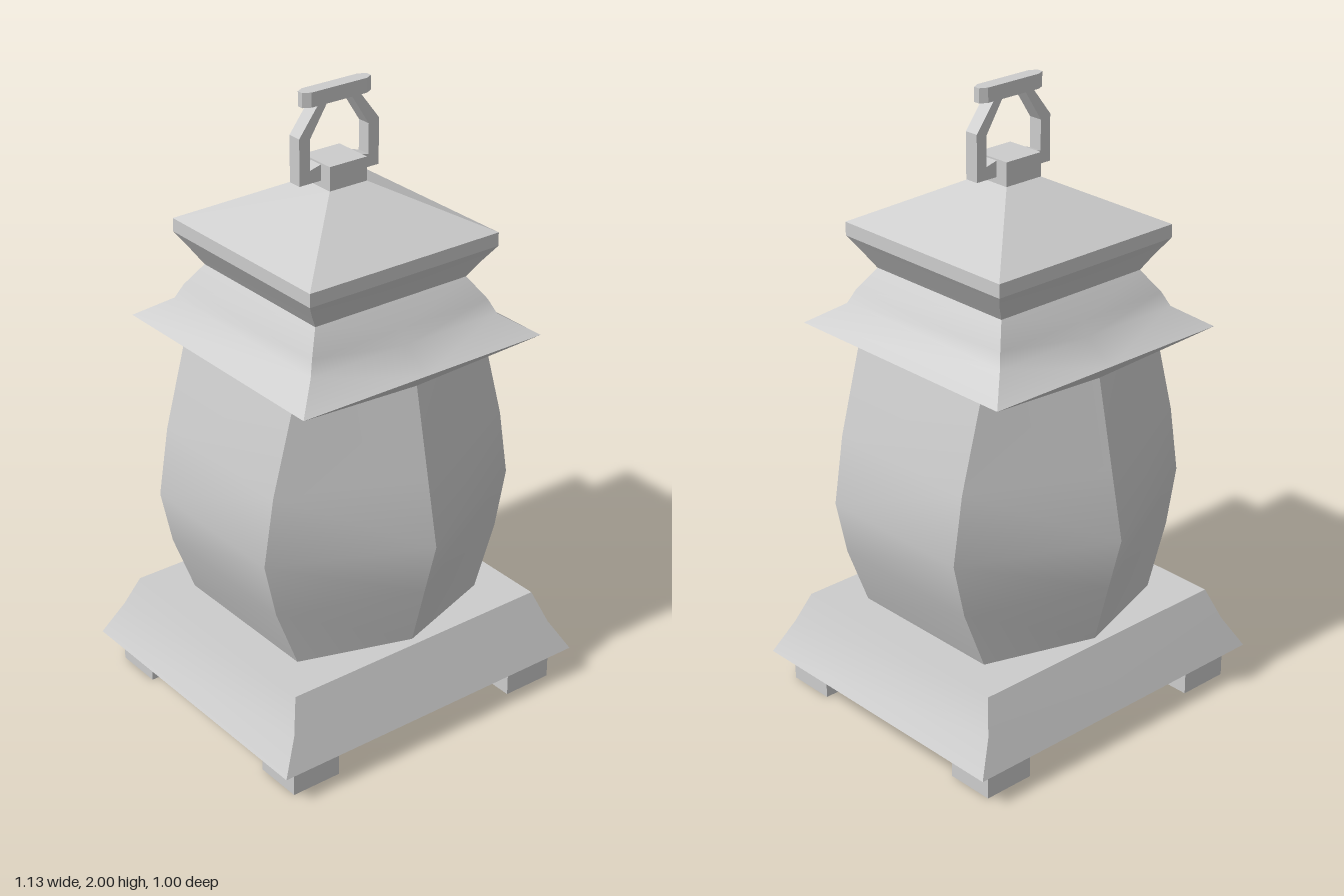
import * as THREE from 'three';
import { toCreasedNormals } from 'three/addons/utils/BufferGeometryUtils.js';

const material = new THREE.MeshStandardMaterial({ color: 0xcccccc });

// Six-point ring: a rectangle, or a hexagon when the middle depth differs from the corner depth
const ring = ([y, x, z, mid = z]) => [
  [0, y, mid], [x, y, z], [x, y, -z], [0, y, -mid], [-x, y, -z], [-x, y, z],
];

// Closed solid through a stack of rings, bottom to top
function loft(name, profile, crease = 0.62) {
  const rings = profile.map(ring);
  const pos = [];
  const tri = (a, b, c) => pos.push(...a, ...b, ...c);
  for (let i = 0; i < rings.length - 1; i++) {
    for (let j = 0; j < 6; j++) {
      const k = (j + 1) % 6;
      const a = rings[i][j], b = rings[i][k], c = rings[i + 1][j], d = rings[i + 1][k];
      // mirrored diagonals keep the faces symmetric
      if (j % 3 === 2) { tri(a, b, c); tri(b, d, c); }
      else { tri(a, b, d); tri(a, d, c); }
    }
  }
  const low = rings[0], high = rings[rings.length - 1];
  for (let j = 1; j < 5; j++) {
    tri(low[0], low[j + 1], low[j]);
    tri(high[0], high[j], high[j + 1]);
  }
  const geo = new THREE.BufferGeometry();
  geo.setAttribute('position', new THREE.Float32BufferAttribute(pos, 3));
  return mesh(name, toCreasedNormals(geo, crease));
}

function mesh(name, geo) {
  const m = new THREE.Mesh(geo, material);
  m.name = name;
  return m;
}

function box(name, w, h, d, x, y, z) {
  const m = mesh(name, new THREE.BoxGeometry(w, h, d));
  m.position.set(x, y, z);
  return m;
}

function extrude(name, points, depth) {
  const shape = new THREE.Shape(points.map(([x, y]) => new THREE.Vector2(x, y)));
  const geo = new THREE.ExtrudeGeometry(shape, { depth, bevelEnabled: false });
  geo.translate(0, 0, -depth / 2);
  return mesh(name, geo);
}

export function createModel() {
  const model = new THREE.Group();
  model.name = 'lantern';

  // Four feet
  for (const sx of [-1, 1]) {
    for (const sz of [-1, 1]) {
      model.add(box('foot', 0.17, 0.105, 0.16, sx * 0.425, 0.0525, sz * 0.38));
    }
  }

  // Flared base: y, half width, half depth
  model.add(loft('base', [
    [0.105, 0.567, 0.5], [0.21, 0.505, 0.457], [0.312, 0.468, 0.415],
  ]));

  // Bulging six-sided body: y, half width, corner depth, ridge depth
  model.add(loft('body', [
    [0.312, 0.353, 0.272, 0.388], [0.51, 0.43, 0.272, 0.442], [0.69, 0.47, 0.272, 0.492],
    [0.91, 0.435, 0.272, 0.446], [1.19, 0.36, 0.272, 0.388],
  ], 0.55));

  // Eave underside, from hexagon to rectangle
  model.add(loft('eaveUnderside', [
    [1.188, 0.36, 0.272, 0.388], [1.235, 0.442, 0.43],
  ], 0.1));

  // Curved lower roof and flared neck
  model.add(loft('lowerRoof', [
    [1.235, 0.442, 0.43], [1.3, 0.347, 0.338], [1.345, 0.327, 0.318], [1.415, 0.28, 0.272],
  ]));
  model.add(loft('neck', [
    [1.415, 0.28, 0.272], [1.465, 0.312, 0.3], [1.517, 0.346, 0.335],
  ]));

  // Rim and pyramid roof
  model.add(loft('upperRoof', [
    [1.517, 0.346, 0.335], [1.56, 0.346, 0.335], [1.705, 0.068, 0.065],
  ], 0.3));

  // Knob and carrying handle
  model.add(box('knob', 0.136, 0.08, 0.13, 0, 1.74, 0));
  const arm = [
    [0.06, 1.725], [0.145, 1.725], [0.145, 1.87], [0.078, 1.957],
    [0.045, 1.957], [0.107, 1.86], [0.107, 1.765], [0.06, 1.777],
  ];
  for (const s of [-1, 1]) {
    model.add(extrude('handleArm', arm.map(([x, y]) => [s * x, y]), 0.046));
  }

  // Grip with chamfered ends
  const grip = extrude('handleGrip', [
    [-0.1, -0.023], [0.1, -0.023], [0.124, -0.01], [0.124, 0.01],
    [0.1, 0.023], [-0.1, 0.023], [-0.124, 0.01], [-0.124, -0.01],
  ], 0.045);
  grip.rotation.x = -Math.PI / 2;
  grip.position.y = 1.9775;
  model.add(grip);

  return model;
}
